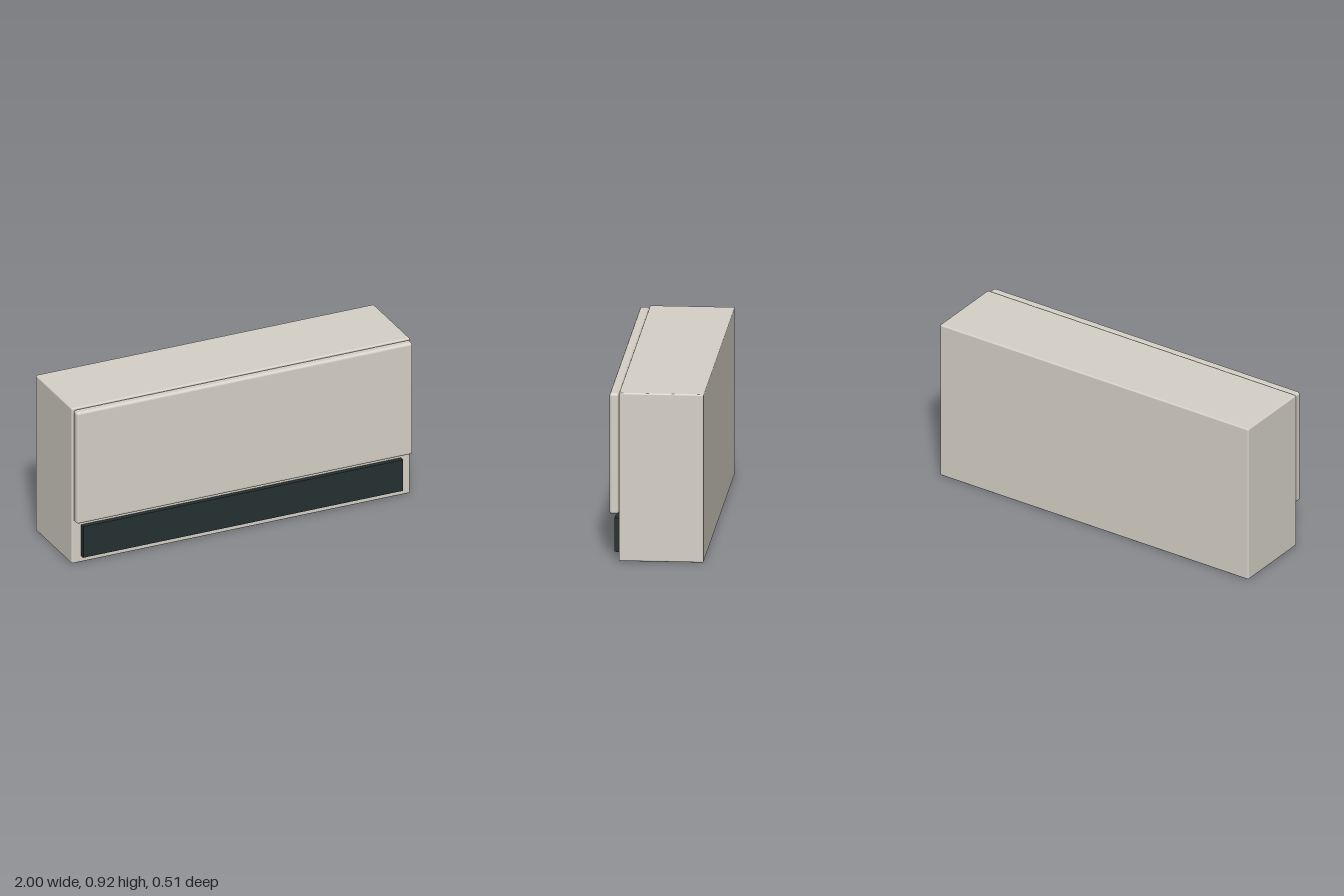
import * as THREE from 'three';
import { RoundedBoxGeometry } from 'three/addons/geometries/RoundedBoxGeometry.js';

export function createModel() {
  const group = new THREE.Group();
  const shell = new THREE.MeshStandardMaterial({ color: 0xd6d1c7 });
  shell.name = 'warm grey shell';
  const dark = new THREE.MeshStandardMaterial({ color: 0x263030 });
  dark.name = 'dark outlet';

  // Adds a box spanning the given y and z ranges, centred on x
  function addBox(name, material, width, [y0, y1], [z0, z1], radius) {
    const size = [width, y1 - y0, z1 - z0];
    const geometry = radius
      ? new RoundedBoxGeometry(...size, 4, radius)
      : new THREE.BoxGeometry(...size);
    const mesh = new THREE.Mesh(geometry, material);
    mesh.name = name;
    mesh.position.set(0, (y0 + y1) / 2, (z0 + z1) / 2);
    group.add(mesh);
  }

  // Main housing
  addBox('housing', shell, 2, [0, 0.924], [-0.253, 0.201], 0.008);
  // Raised front cover with softly rounded edges
  addBox('frontPanel', shell, 1.986, [0.255, 0.919], [0.202, 0.253], 0.015);
  // Dark air outlet below the cover, seated into the housing
  addBox('airOutlet', dark, 1.89, [0.038, 0.223], [0.18, 0.229], 0);

  return group;
}
